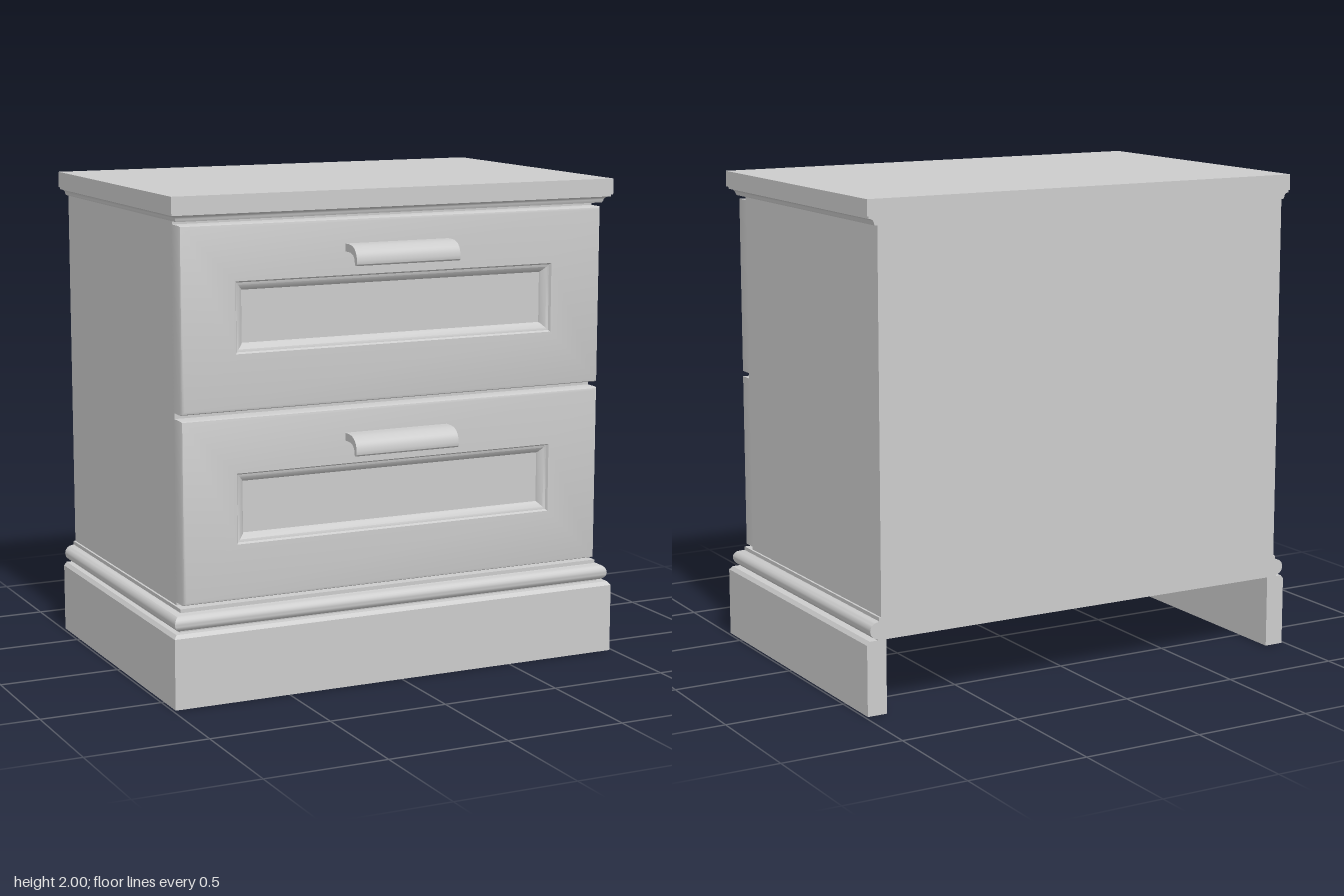
import * as THREE from 'three';
import { toCreasedNormals } from 'three/addons/utils/BufferGeometryUtils.js';

const W = 0.93, FRONT = 0.565, BACK = -0.69;   // carcass half width, moulding base line, back plane
const CX = -0.004;
const material = new THREE.MeshStandardMaterial({ color: 0xcccccc });

function add(parent, name, geometry) {
  const mesh = new THREE.Mesh(geometry, material);
  mesh.name = name;
  parent.add(mesh);
  return mesh;
}

function fromTriangles(points) {
  const g = new THREE.BufferGeometry();
  g.setAttribute('position', new THREE.Float32BufferAttribute(points.flat(), 3));
  return toCreasedNormals(g, 0.6);
}

function boxBetween(x0, x1, y0, y1, z0, z1) {
  return new THREE.BoxGeometry(x1 - x0, y1 - y0, z1 - z0)
    .translate((x0 + x1) / 2, (y0 + y1) / 2, (z0 + z1) / 2);
}

// Sweep a closed counter-clockwise profile of [offset, height] round left, front and right, mitred
function mouldingSweep(profile) {
  const at = ([d, y], s) => [
    [-W - d, y, BACK], [-W - d, y, FRONT + d], [W + d, y, FRONT + d], [W + d, y, BACK],
  ][s];
  const tris = [];
  profile.forEach((p, i) => {
    const q = profile[(i + 1) % profile.length];
    for (let s = 0; s < 3; s++) {
      const a = at(p, s), b = at(p, s + 1), c = at(q, s + 1), d = at(q, s);
      tris.push(a, b, c, a, c, d);
    }
  });
  const contour = profile.map(([d, y]) => new THREE.Vector2(d, y));
  for (const [i, j, k] of THREE.ShapeUtils.triangulateShape(contour, [])) {
    tris.push(at(profile[i], 0), at(profile[j], 0), at(profile[k], 0));
    tris.push(at(profile[k], 3), at(profile[j], 3), at(profile[i], 3));
  }
  return fromTriangles(tris);
}

// Join nested rectangles [x0, x1, y0, y1, z] and close the last one
function rectLoft(rects) {
  const rings = rects.map(([x0, x1, y0, y1, z]) =>
    [[x0, y0, z], [x1, y0, z], [x1, y1, z], [x0, y1, z]]);
  const tris = [];
  for (let i = 0; i < rings.length - 1; i++) {
    for (let k = 0; k < 4; k++) {
      const n = (k + 1) % 4;
      const a = rings[i][k], b = rings[i][n], c = rings[i + 1][n], d = rings[i + 1][k];
      tris.push(a, b, c, a, c, d);
    }
  }
  const [a, b, c, d] = rings[rings.length - 1];
  tris.push(a, b, c, a, c, d);
  return fromTriangles(tris);
}

// Drawer front with chamfered edges and a recessed, moulded panel
function drawerFront() {
  const outer = (inset, z) => [-W + inset, W - inset, inset, 0.73 - inset, z];
  const panel = (inset, z) => [-0.701 + inset, 0.699 - inset, 0.225 + inset, 0.508 - inset, z];
  return rectLoft([
    outer(0.02, 0.5), outer(0, 0.5), outer(0, 0.572), outer(0.004, 0.581), outer(0.013, 0.585),
    panel(0, 0.585), panel(0.006, 0.575), panel(0.016, 0.572), panel(0.034, 0.558),
    panel(0.038, 0.55), panel(0.044, 0.55),
  ]);
}

// Curled lip pull, drawn in side section and extruded across the drawer
function handleGeometry() {
  const s = new THREE.Shape();
  s.moveTo(0.575, 0.601);
  s.lineTo(0.613, 0.601);
  s.bezierCurveTo(0.645, 0.601, 0.668, 0.592, 0.669, 0.565);
  s.absarc(0.679, 0.563, 0.01, Math.PI, Math.PI * 2, false);
  s.bezierCurveTo(0.69, 0.608, 0.665, 0.632, 0.615, 0.632);
  s.lineTo(0.575, 0.632);
  s.closePath();
  const g = new THREE.ExtrudeGeometry(s, { depth: 0.455, bevelEnabled: false, curveSegments: 12 });
  g.rotateY(-Math.PI / 2).translate(0.221, 0, 0);
  return toCreasedNormals(g, 0.6);
}

export function createModel() {
  const model = new THREE.Group();
  model.name = 'nightstand';

  // Carcass and the rails behind the mouldings
  const carcass = new THREE.Group();
  carcass.name = 'carcass';
  model.add(carcass);
  add(carcass, 'body', boxBetween(-W, W, 0.3, 1.905, BACK, 0.51));
  add(carcass, 'bottomRail', boxBetween(-W, W, 0.3, 0.39, 0.51, FRONT));
  add(carcass, 'topRail', boxBetween(-W, W, 1.905, 1.935, BACK, FRONT));

  // Plinth, open at the back
  add(model, 'plinth', mouldingSweep([
    [-0.025, 0], [0.058, 0], [0.058, 0.285], [0.046, 0.3], [-0.025, 0.3],
  ]));

  // Half-round base moulding with a small ledge above
  const bead = [];
  for (let i = 0; i <= 12; i++) {
    const a = -Math.PI / 2 + (Math.PI * i) / 12;
    bead.push([0.016 + 0.032 * Math.cos(a), 0.339 + 0.033 * Math.sin(a)]);
  }
  add(model, 'baseMoulding', mouldingSweep([
    [0, 0.3], [0.016, 0.3], ...bead, [0.009, 0.375], [0.009, 0.39], [0, 0.39],
  ]));

  // Cove moulding under the top
  const cove = [];
  for (let i = 0; i <= 6; i++) {
    const a = (Math.PI / 2) * (i / 6);
    cove.push([0.036 - 0.022 * Math.cos(a), 1.908 + 0.018 * Math.sin(a)]);
  }
  add(model, 'corniceMoulding', mouldingSweep([
    [0, 1.9], [0.01, 1.9], ...cove, [0.036, 1.935], [0, 1.935],
  ]));
  add(model, 'topBoard', boxBetween(-0.972, 0.972, 1.935, 2, BACK, 0.61));

  // Two matching drawers
  const front = drawerFront(), pull = handleGeometry();
  [['upperDrawer', 1.155], ['lowerDrawer', 0.402]].forEach(([name, y]) => {
    const drawer = new THREE.Group();
    drawer.name = name;
    drawer.position.y = y;
    add(drawer, 'drawerFront', front);
    add(drawer, 'handle', pull);
    model.add(drawer);
  });

  model.children.forEach((part) => { if (part.name !== 'plinth') part.position.x = CX; });
  return model;
}
